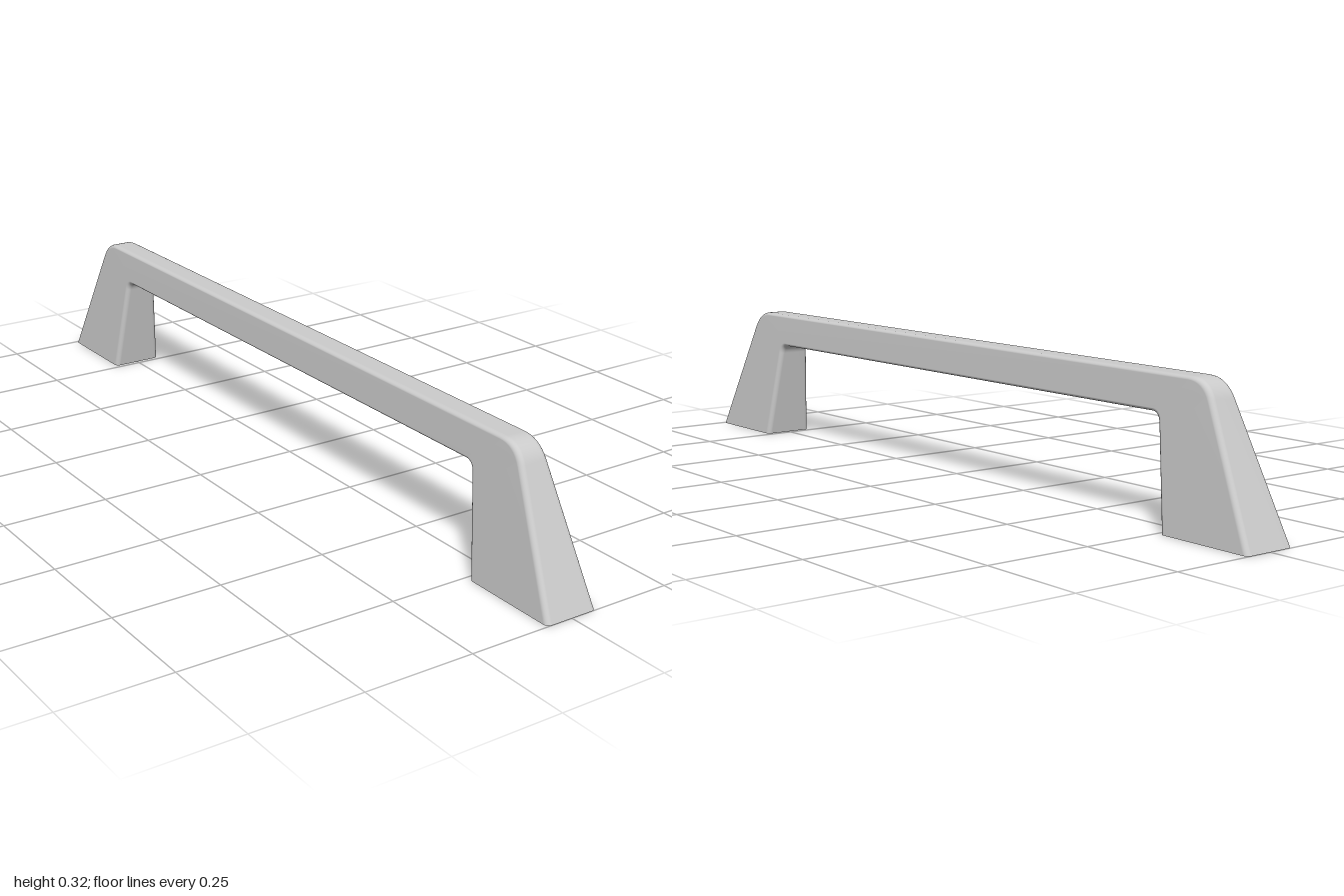
import * as THREE from 'three';

const EDGE = 0.012;      // rounding radius of the long edges
const ARC = 6;           // steps per rounding
const halfWidth = (y) => 0.064 - 0.1 * y;

// Straight leg followed by a rounded bend into the grip, as [z, y] points
function profile(foot, bendStart, corner, bendEnd) {
  const v = (p) => new THREE.Vector2(p[0], p[1]);
  const bend = new THREE.QuadraticBezierCurve(v(bendStart), v(corner), v(bendEnd));
  const half = [v(foot), ...bend.getPoints(8)];
  const mirrored = half.map((p) => new THREE.Vector2(-p.x, p.y)).reverse();
  return [...half, ...mirrored];
}

// Rounded rectangular section between an outer and an inner profile point
function section(outer, inner) {
  const length = outer.distanceTo(inner);
  const ring = [];
  const corner = (side, atInner, reverse) => {
    for (let k = 0; k <= ARC; k++) {
      const a = ((reverse ? ARC - k : k) / ARC) * Math.PI / 2;
      const depth = EDGE * (1 - Math.cos(a));
      const s = atInner ? length - depth : depth;
      const p = outer.clone().lerp(inner, s / length);
      const x = side * (halfWidth(p.y) - EDGE * (1 - Math.sin(a)));
      ring.push(new THREE.Vector3(x, p.y, p.x));
    }
  };
  corner(-1, false, true);
  corner(1, false, false);
  corner(1, true, true);
  corner(-1, true, false);
  return ring;
}

// Skin through all sections
function loft(rings) {
  const n = rings[0].length;
  const index = [];
  for (let i = 0; i < rings.length - 1; i++) {
    for (let j = 0; j < n; j++) {
      const a = i * n + j, b = i * n + (j + 1) % n;
      index.push(a, b, a + n, b, b + n, a + n);
    }
  }
  const geometry = new THREE.BufferGeometry().setFromPoints(rings.flat());
  geometry.setIndex(index);
  geometry.computeVertexNormals();
  return geometry;
}

// Flat fan closing a section
function cap(ring) {
  const index = [];
  for (let j = 1; j < ring.length - 1; j++) index.push(0, j, j + 1);
  const geometry = new THREE.BufferGeometry().setFromPoints(ring);
  geometry.setIndex(index);
  geometry.computeVertexNormals();
  return geometry;
}

export function createModel() {
  const group = new THREE.Group();
  group.name = 'pullHandle';
  const material = new THREE.MeshStandardMaterial({ color: 0xcccccc });
  const add = (name, geometry) => {
    const mesh = new THREE.Mesh(geometry, material);
    mesh.name = name;
    group.add(mesh);
  };

  const outer = profile([1, 0], [0.869, 0.284], [0.85, 0.325], [0.805, 0.325]);
  const inner = profile([0.76, 0], [0.724, 0.222], [0.72, 0.243], [0.7, 0.243]);
  const rings = outer.map((p, i) => section(p, inner[i]));

  // Grip and both flared legs in one continuous body
  add('handleBody', loft(rings));
  // Flat mounting faces under the legs
  add('frontFoot', cap([...rings[0]].reverse()));
  add('backFoot', cap(rings[rings.length - 1]));
  return group;
}
